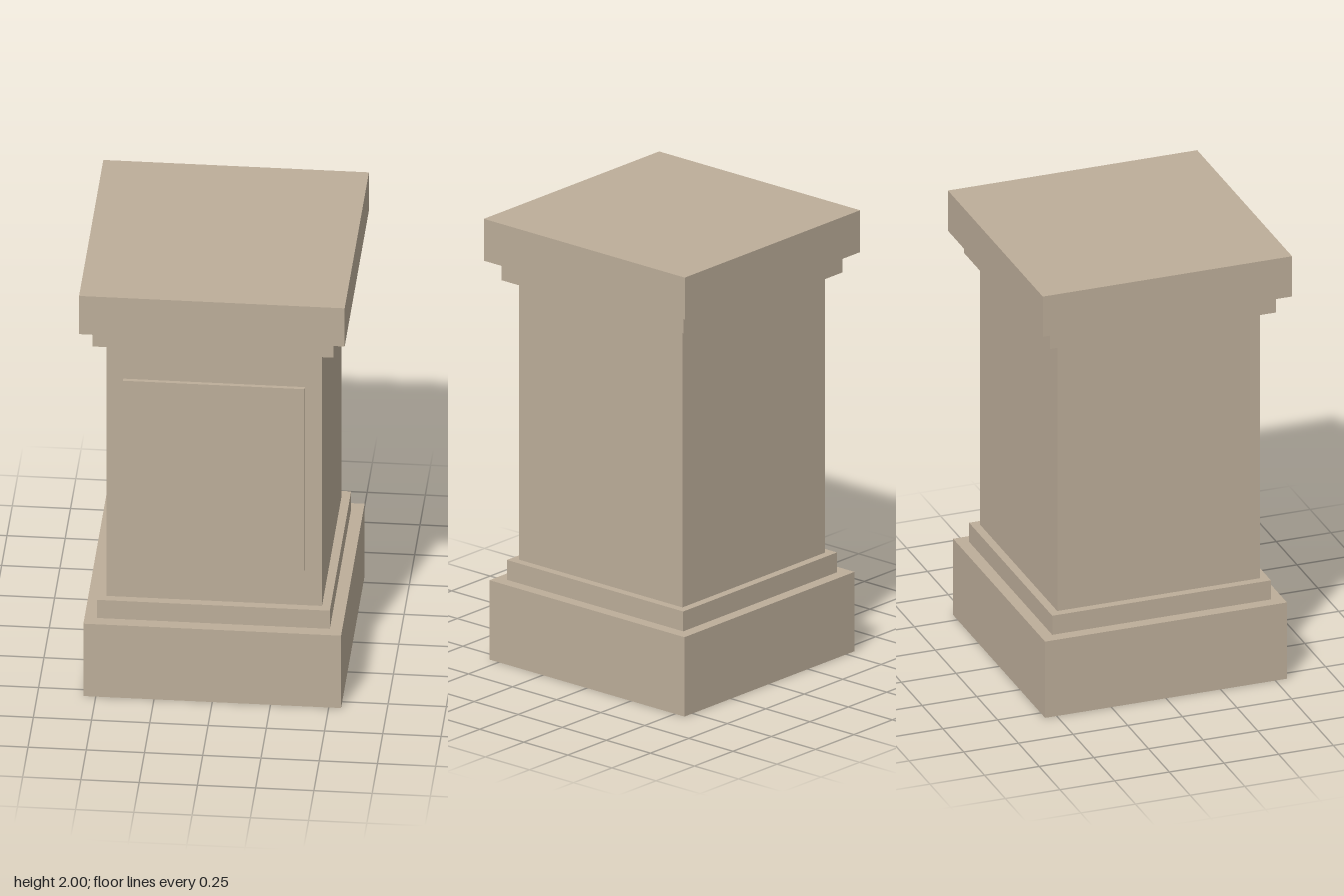
import * as THREE from 'three';

export function createModel() {
  const model = new THREE.Group();
  model.name = 'pedestal';

  const stone = new THREE.MeshStandardMaterial({ color: 0xbcad99 });
  stone.name = 'warm stone';

  // Box standing between two heights
  function block(name, width, depth, bottom, top, z = 0) {
    const mesh = new THREE.Mesh(new THREE.BoxGeometry(width, top - bottom, depth), stone);
    mesh.name = name;
    mesh.position.set(0, (bottom + top) / 2, z);
    model.add(mesh);
  }

  // Square courses from the ground up: name, width, bottom, top
  const courses = [
    ['plinth', 1.106, 0, 0.36],
    ['baseStep', 1.0, 0.36, 0.45],
    ['shaft', 0.926, 0.45, 1.72],
    ['neckStep', 1.034, 1.72, 1.81],
    ['capSlab', 1.14, 1.81, 2],
  ];
  for (const [name, width, bottom, top] of courses) block(name, width, width, bottom, top);

  // Raised panel on the front of the shaft
  block('frontPanel', 0.78, 0.036, 0.63, 1.535, 0.463);

  return model;
}
